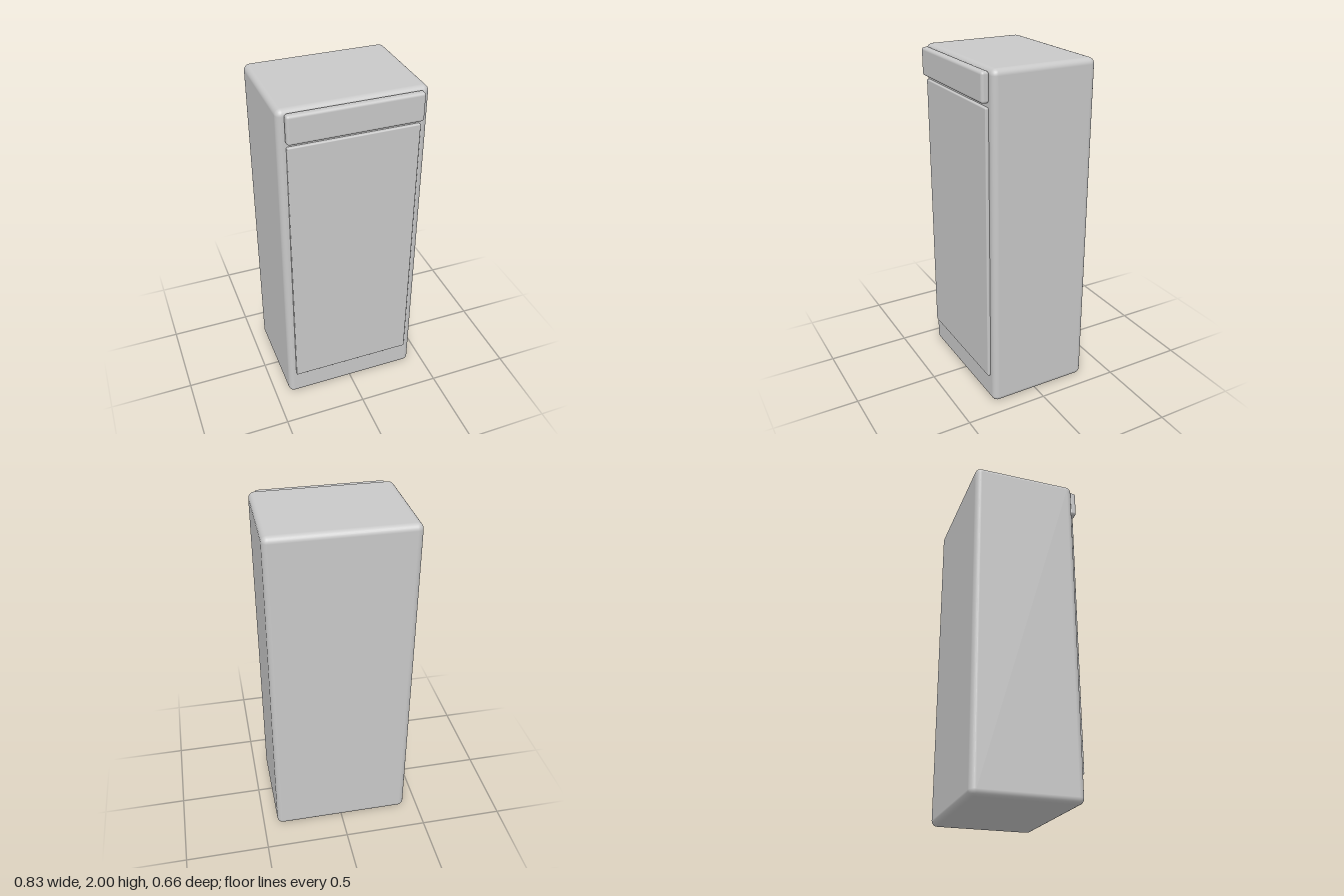
import * as THREE from 'three';
import { RoundedBoxGeometry } from 'three/addons/geometries/RoundedBoxGeometry.js';

export function createModel() {
  const model = new THREE.Group();
  model.name = 'cabinet';
  const grey = new THREE.MeshStandardMaterial({ color: 0xc8c8c8 });
  grey.name = 'light grey';

  // Rounded box given by its lower and upper corners
  function roundedPart(name, min, max, radius, segments) {
    const size = max.map((v, i) => v - min[i]);
    const mesh = new THREE.Mesh(new RoundedBoxGeometry(...size, segments, radius), grey);
    mesh.position.set(...max.map((v, i) => (v + min[i]) / 2));
    mesh.name = name;
    model.add(mesh);
  }

  // Main cabinet body
  roundedPart('body', [-0.414, 0, -0.332], [0.414, 2, 0.289], 0.035, 3);
  // Header panel across the top of the front
  roundedPart('headerPanel', [-0.375, 1.822, 0.285], [0.373, 1.986, 0.331], 0.016, 3);
  // Thin door below the header
  roundedPart('door', [-0.369, 0.17, 0.276], [0.366, 1.798, 0.307], 0.007, 2);

  return model;
}
